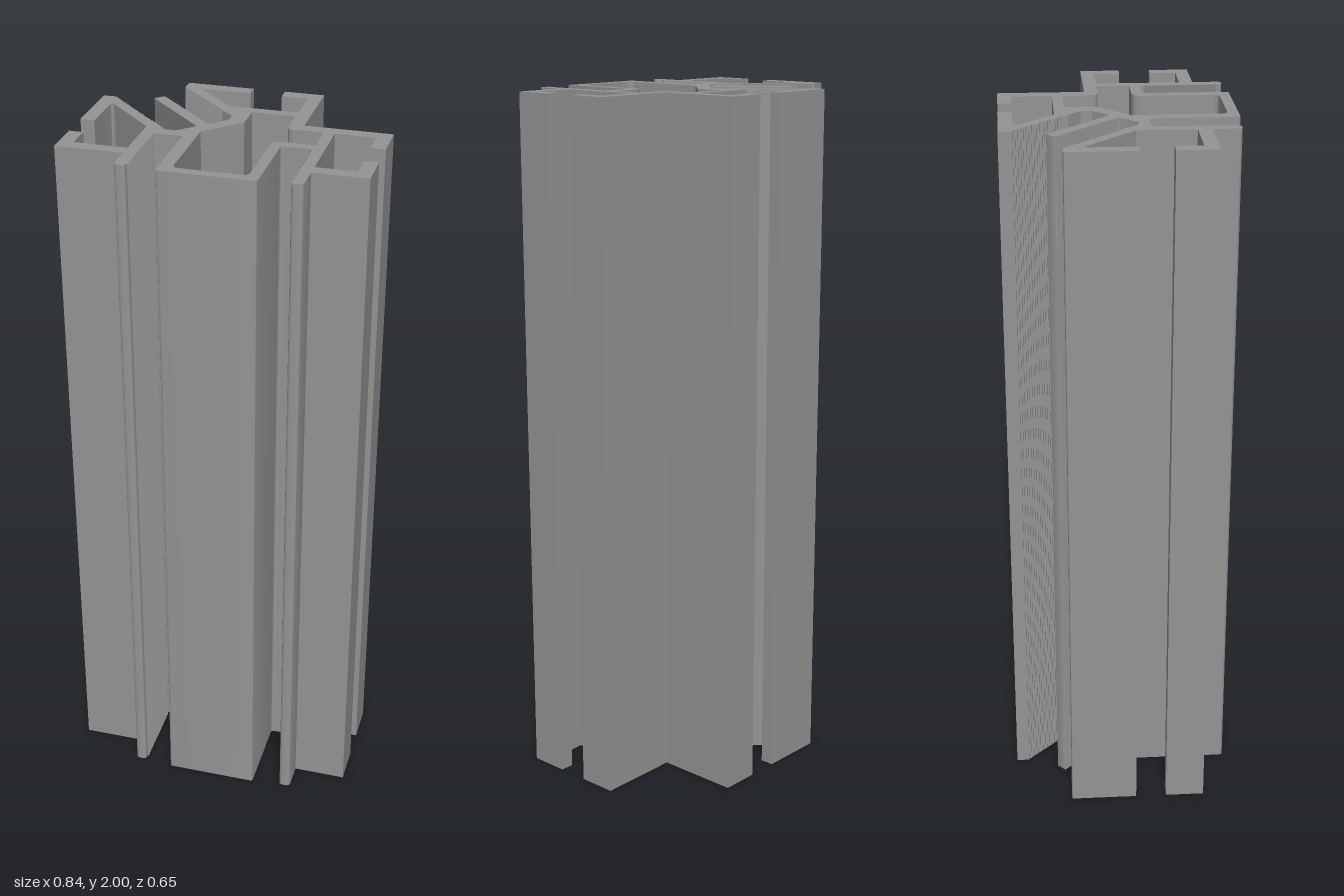
import * as THREE from 'three';
import { toCreasedNormals } from 'three/addons/utils/BufferGeometryUtils.js';

const HEIGHT = 2;

// Zigzag grip edge from a to b; teeth stand out to the left or right by depth
function teeth(a, b, count, depth) {
  const [dx, dz] = [b[0] - a[0], b[1] - a[1]];
  const len = Math.hypot(dx, dz);
  const points = [];
  for (let i = 0; i <= count * 2; i++) {
    const t = i / (count * 2);
    const d = i % 2 ? depth : 0;
    points.push([a[0] + dx * t - (dz / len) * d, a[1] + dz * t + (dx / len) * d]);
  }
  return points;
}

// Draws a closed outline of [x, z, cornerRadius] points, rounding where a radius is given
function trace(path, points) {
  const n = points.length;
  const toward = (p, q, r) => {
    const k = r / Math.hypot(q[0] - p[0], q[1] - p[1]);
    return [p[0] + (q[0] - p[0]) * k, -(p[1] + (q[1] - p[1]) * k)];
  };
  points.forEach((p, i) => {
    const r = p[2] || 0;
    const start = toward(p, points[(i + n - 1) % n], r);
    if (i === 0) path.moveTo(...start);
    else path.lineTo(...start);
    if (r) path.quadraticCurveTo(p[0], -p[1], ...toward(p, points[(i + 1) % n], r));
  });
  path.closePath();
  return path;
}

export function createModel() {
  // Rear slot with its two lips
  const rearSlot = [
    [-0.219, -0.325], [-0.028, -0.325], [-0.028, -0.286], [-0.172, -0.286, 0.024],
    [-0.06, -0.173], [0.138, -0.173], [0.138, -0.286], [0.063, -0.286],
    [0.063, -0.325], [0.176, -0.325], [0.176, -0.081],
  ];
  // Slot on the +x side
  const leftSlot = [
    [0.42, -0.081], [0.42, 0.031], [0.38, 0.031], [0.38, -0.044],
    [0.268, -0.044], [0.268, 0.196], [0.38, 0.196], [0.38, 0.121],
    [0.42, 0.121], [0.42, 0.234], [0.268, 0.234],
  ];
  // Front legs, toothed grooves and the box front between them
  const front = [
    [0.268, 0.315, 0.012], [0.234, 0.315, 0.012],
    ...teeth([0.234, 0.3], [0.234, 0.093], 26, 0.004),
    [0.234, 0.08, 0.01], [0.151, 0.08, 0.01],
    [0.151, 0.324, 0.01], [-0.117, 0.324, 0.01],
    [-0.117, 0.08, 0.012], [-0.199, 0.08, 0.012],
    ...teeth([-0.199, 0.093], [-0.199, 0.3], 26, -0.004),
    [-0.199, 0.315, 0.012], [-0.231, 0.315, 0.012],
  ];
  // Slot on the -x side
  const rightSlot = [
    [-0.231, 0.234], [-0.42, 0.234], [-0.42, 0.121], [-0.38, 0.121],
    [-0.38, 0.196], [-0.231, 0.196], [-0.231, 0.035], [-0.38, -0.114, 0.024],
    [-0.38, 0.031], [-0.42, 0.031], [-0.42, -0.162, 0.004],
  ];
  // Diagonal channel with toothed walls and a central fin
  const diagonalChannel = [
    [-0.382, -0.162],
    ...teeth([-0.377, -0.158], [-0.229, -0.01], 21, 0.004),
    [-0.176, 0.044], [-0.147, 0.044], [-0.101, -0.001, 0.01],
    [-0.277, -0.177, 0.004], [-0.253, -0.201, 0.004], [-0.076, -0.024, 0.01],
    [-0.031, -0.07], [-0.031, -0.101],
    ...teeth([-0.068, -0.136], [-0.219, -0.287], 21, 0.004),
  ];
  // Hollow core, wound against the outer outline so its walls face inward
  const core = [
    [0.015, -0.06], [-0.08, 0.035], [-0.08, 0.294, 0.02], [0.121, 0.294, 0.02],
    [0.121, 0.05, 0.03], [0.238, 0.05], [0.238, -0.044], [0.137, -0.044, 0.02],
    [0.137, -0.143], [0.015, -0.143],
  ];

  const section = trace(new THREE.Shape(), [
    ...rearSlot, ...leftSlot, ...front, ...rightSlot, ...diagonalChannel,
  ]);
  section.holes.push(trace(new THREE.Path(), core));

  const geometry = new THREE.ExtrudeGeometry(section, {
    depth: HEIGHT, bevelEnabled: false, curveSegments: 10,
  });
  geometry.rotateX(-Math.PI / 2);

  const profile = new THREE.Mesh(
    toCreasedNormals(geometry, 0.5),
    new THREE.MeshStandardMaterial({ color: 0x949494 }),
  );
  profile.name = 'extrudedProfile';
  const model = new THREE.Group();
  model.name = 'slottedColumn';
  model.add(profile);
  return model;
}
